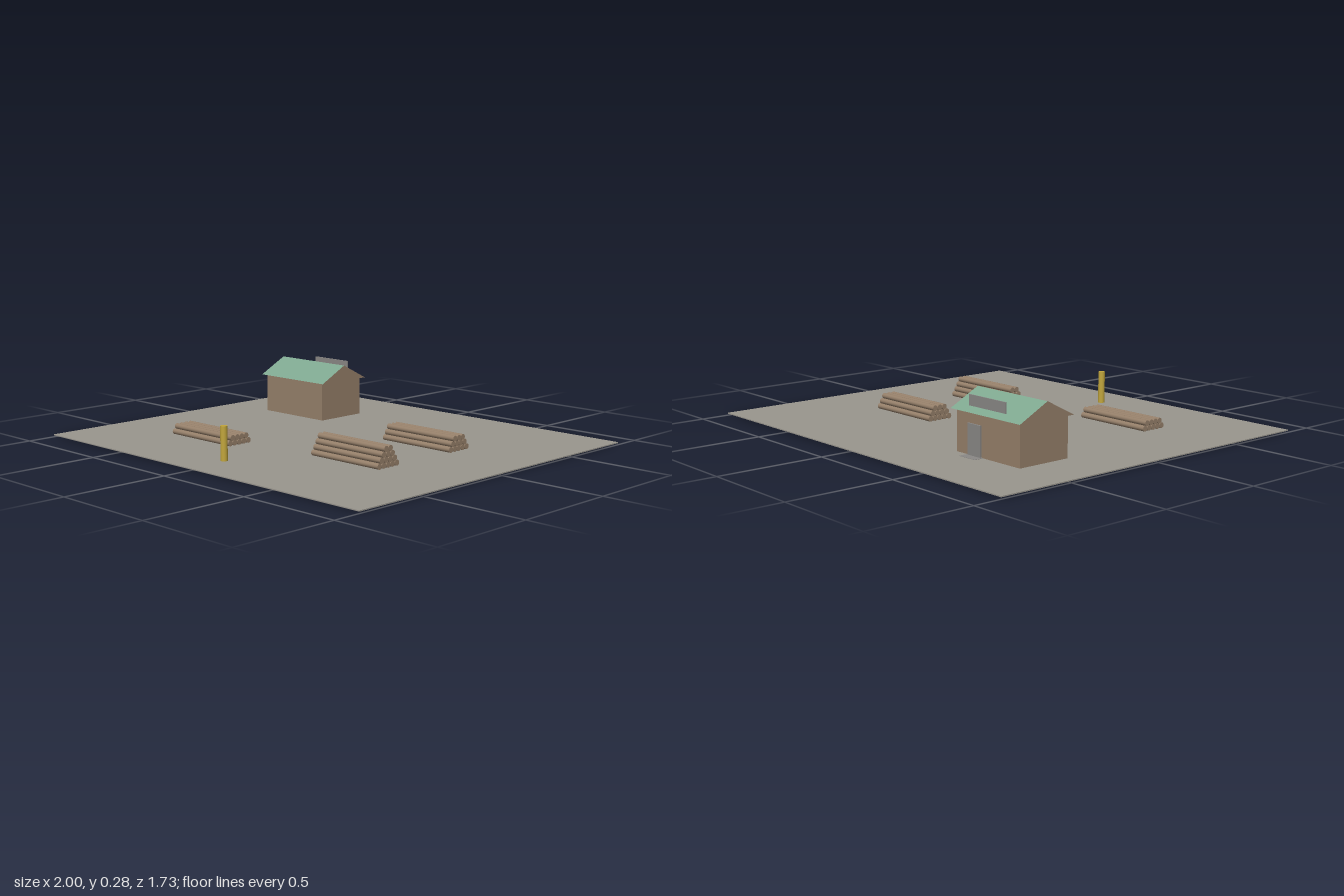
import * as THREE from 'three';

const material = (name, color) => {
  const m = new THREE.MeshStandardMaterial({ color });
  m.name = name;
  return m;
};

export function createModel() {
  const model = new THREE.Group();
  model.name = 'timberYard';
  const wood = material('wood', 0x96806a);
  const roofGreen = material('roofGreen', 0x7fa890);
  const concrete = material('concrete', 0x9a968e);
  const grey = material('grey', 0x8a8886);
  const yellow = material('yellow', 0xc2a63c);
  const GROUND = 0.012;

  const add = (name, geometry, mat, x, y, z, parent = model) => {
    const mesh = new THREE.Mesh(geometry, mat);
    mesh.name = name;
    mesh.position.set(x, y, z);
    parent.add(mesh);
    return mesh;
  };
  // Box given by its centre in x and z and its bottom and top heights
  const box = (name, mat, x, z, w, d, y0, y1, parent) =>
    add(name, new THREE.BoxGeometry(w, y1 - y0, d), mat, x, (y0 + y1) / 2, z, parent);

  // Yard slab
  box('yard', concrete, 0, 0, 2, 1.73, 0.007, GROUND);

  // Hut with door, step and sign on its back side
  const hut = new THREE.Group();
  hut.name = 'hut';
  model.add(hut);
  const hx = -0.534, hz = -0.4;
  box('walls', wood, hx, hz, 0.4, 0.267, GROUND, 0.2, hut);
  box('door', grey, -0.453, -0.537, 0.08, 0.009, GROUND, 0.15, hut);
  box('doorStep', grey, -0.455, -0.555, 0.1, 0.05, 0, 0.0133, hut);
  box('sign', grey, -0.534, -0.534, 0.23, 0.005, 0.225, 0.273, hut);

  // Gabled roof: a wooden prism whose two slopes are green
  const halfSpan = 0.151, rise = 0.077, length = 0.44;
  const gable = new THREE.Shape([
    new THREE.Vector2(-halfSpan, 0),
    new THREE.Vector2(halfSpan, 0),
    new THREE.Vector2(0, rise),
  ]);
  const prism = new THREE.ExtrudeGeometry(gable, { depth: length, bevelEnabled: false });
  prism.translate(0, 0, -length / 2).rotateY(Math.PI / 2);
  const normals = prism.attributes.normal;
  prism.clearGroups();
  for (let i = 0; i < normals.count; i += 3) {
    prism.addGroup(i, 3, normals.getY(i) > 0.3 ? 1 : 0);
  }
  add('roof', prism, [wood, roofGreen], hx, 0.199, hz - 0.001, hut);

  // Log piles: five logs at the bottom, one fewer in each row above
  const r = 0.0136;
  const log = new THREE.CylinderGeometry(r, r, 0.4, 12).rotateZ(Math.PI / 2);
  for (const [x, z, rows] of [[-0.4, 0.4, 2], [0.4, 0.267, 4], [0.4, -0.2, 3]]) {
    const pile = new THREE.Group();
    pile.name = 'logPile';
    model.add(pile);
    for (let row = 0; row < rows; row++) {
      const count = 5 - row;
      for (let i = 0; i < count; i++) {
        add('log', log, wood, x, GROUND + r + row * r * Math.sqrt(3),
          z + (i - (count - 1) / 2) * 2 * r, pile);
      }
    }
  }

  // Yellow post
  add('post', new THREE.CylinderGeometry(0.016, 0.016, 0.155, 16), yellow, 0, GROUND + 0.0775, 0.667);

  return model;
}
